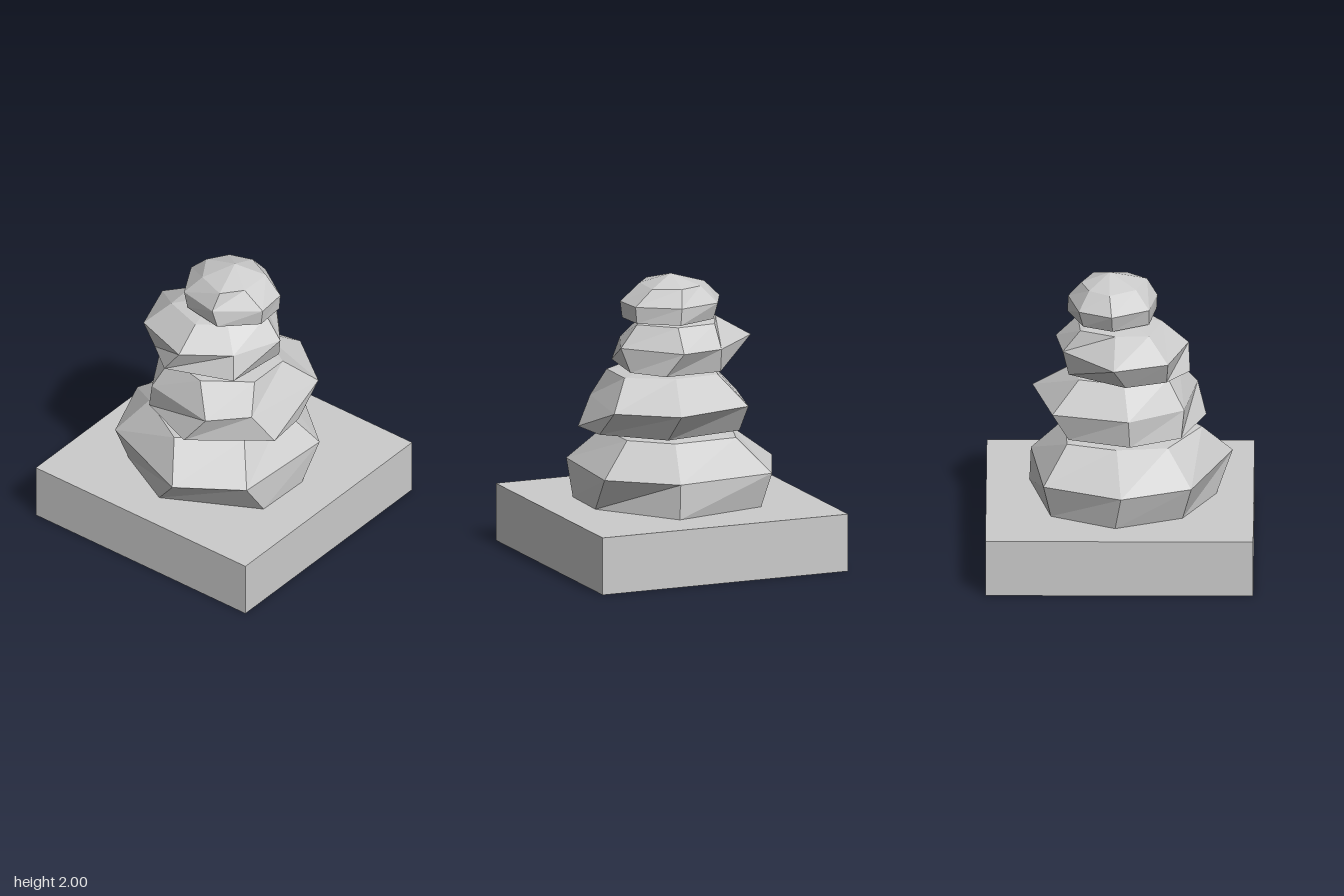
import * as THREE from 'three';

const material = new THREE.MeshStandardMaterial({ color: 0xcccccc, flatShading: true, side: THREE.DoubleSide });
const SIDES = 7;

// A faceted stone: rings of seven [x, z] corners at given heights, closed by a low and a high point.
function makeStone(name, bottom, rings, top) {
  const positions = [];
  const rows = rings.map(({ y, outline }) => outline.map(([x, z]) => [x, y, z]));
  const face = (...corners) => corners.forEach((c) => positions.push(...c));
  const last = rows.length - 1;
  for (let i = 0; i < SIDES; i++) {
    const j = (i + 1) % SIDES;
    face(rows[0][i], rows[0][j], bottom);
    for (let r = 0; r < last; r++) {
      const low = rows[r], high = rows[r + 1];
      face(low[i], high[i], low[j]);
      face(high[i], high[j], low[j]);
    }
    face(rows[last][i], top, rows[last][j]);
  }
  const geometry = new THREE.BufferGeometry();
  geometry.setAttribute('position', new THREE.Float32BufferAttribute(positions, 3));
  geometry.computeVertexNormals();
  const mesh = new THREE.Mesh(geometry, material);
  mesh.name = name;
  return mesh;
}

// Square plinth, hollow and open underneath
function makePlinth() {
  const geometry = new THREE.BoxGeometry(1.83, 0.4, 1.83);
  const index = Array.from(geometry.index.array);
  index.splice(18, 6); // drop the bottom face
  geometry.setIndex(index);
  geometry.clearGroups();
  geometry.translate(0, 0.2, 0);
  const mesh = new THREE.Mesh(geometry, material);
  mesh.name = 'plinth';
  return mesh;
}

export function createModel() {
  const model = new THREE.Group();
  model.name = 'stackedStones';
  model.add(makePlinth());

  // Largest stone, resting on the plinth
  model.add(makeStone('bottomStone', [0, 0.37, 0], [
    { y: 0.4, outline: [[0.61, -0.09], [0.6, 0.32], [-0.04, 0.66], [-0.49, 0.43], [-0.68, -0.03], [-0.46, -0.47], [0.21, -0.62]] },
    { y: 0.64, outline: [[0.62, -0.27], [0.58, 0.48], [0.16, 0.77], [-0.56, 0.49], [-0.75, 0.01], [-0.52, -0.52], [0.2, -0.61]] },
    { y: 0.875, outline: [[0.4, -0.15], [0.4, 0.28], [0.01, 0.56], [-0.39, 0.33], [-0.43, -0.02], [-0.32, -0.36], [0.14, -0.38]] },
  ], [0, 0.93, 0]));

  // Second stone
  model.add(makeStone('lowerMiddleStone', [0.05, 0.89, 0], [
    { y: 0.92, outline: [[0.58, -0.09], [0.61, 0.21], [0.12, 0.59], [-0.32, 0.42], [-0.49, 0.07], [-0.35, -0.35], [0.22, -0.44]] },
    { y: 1.11, outline: [[0.57, -0.32], [0.48, 0.3], [0.26, 0.53], [-0.28, 0.44], [-0.505, 0.06], [-0.37, -0.46], [0.19, -0.6]] },
    { y: 1.31, outline: [[0.41, -0.13], [0.41, 0.18], [0.11, 0.4], [-0.2, 0.33], [-0.31, 0.03], [-0.22, -0.28], [0.1, -0.3]] },
  ], [0.05, 1.35, 0]));

  // Third stone
  model.add(makeStone('upperMiddleStone', [-0.04, 1.325, 0], [
    { y: 1.345, outline: [[0.37, -0.14], [0.32, 0.3], [-0.14, 0.48], [-0.35, 0.32], [-0.45, 0.04], [-0.21, -0.35], [0.2, -0.36]] },
    { y: 1.51, outline: [[0.42, -0.09], [0.28, 0.25], [-0.02, 0.47], [-0.44, 0.33], [-0.57, -0.04], [-0.2, -0.39], [0.1, -0.44]] },
    { y: 1.665, outline: [[0.3, -0.09], [0.16, 0.16], [-0.02, 0.29], [-0.3, 0.2], [-0.31, -0.03], [-0.2, -0.27], [0.08, -0.29]] },
  ], [-0.06, 1.72, 0]));

  // Smallest stone, crowning the stack
  model.add(makeStone('topStone', [0.04, 1.675, -0.07], [
    { y: 1.695, outline: [[0.34, -0.18], [0.355, 0.04], [0.14, 0.25], [-0.16, 0.2], [-0.29, -0.05], [-0.2, -0.25], [0.09, -0.36]] },
    { y: 1.81, outline: [[0.35, -0.18], [0.37, 0.04], [0.1, 0.255], [-0.19, 0.2], [-0.33, -0.055], [-0.22, -0.28], [0.08, -0.355]] },
    { y: 1.925, outline: [[0.225, -0.18], [0.22, 0.05], [0.11, 0.185], [-0.1, 0.11], [-0.21, -0.07], [-0.12, -0.21], [0.04, -0.265]] },
  ], [0.04, 2, -0.07]));

  return model;
}
